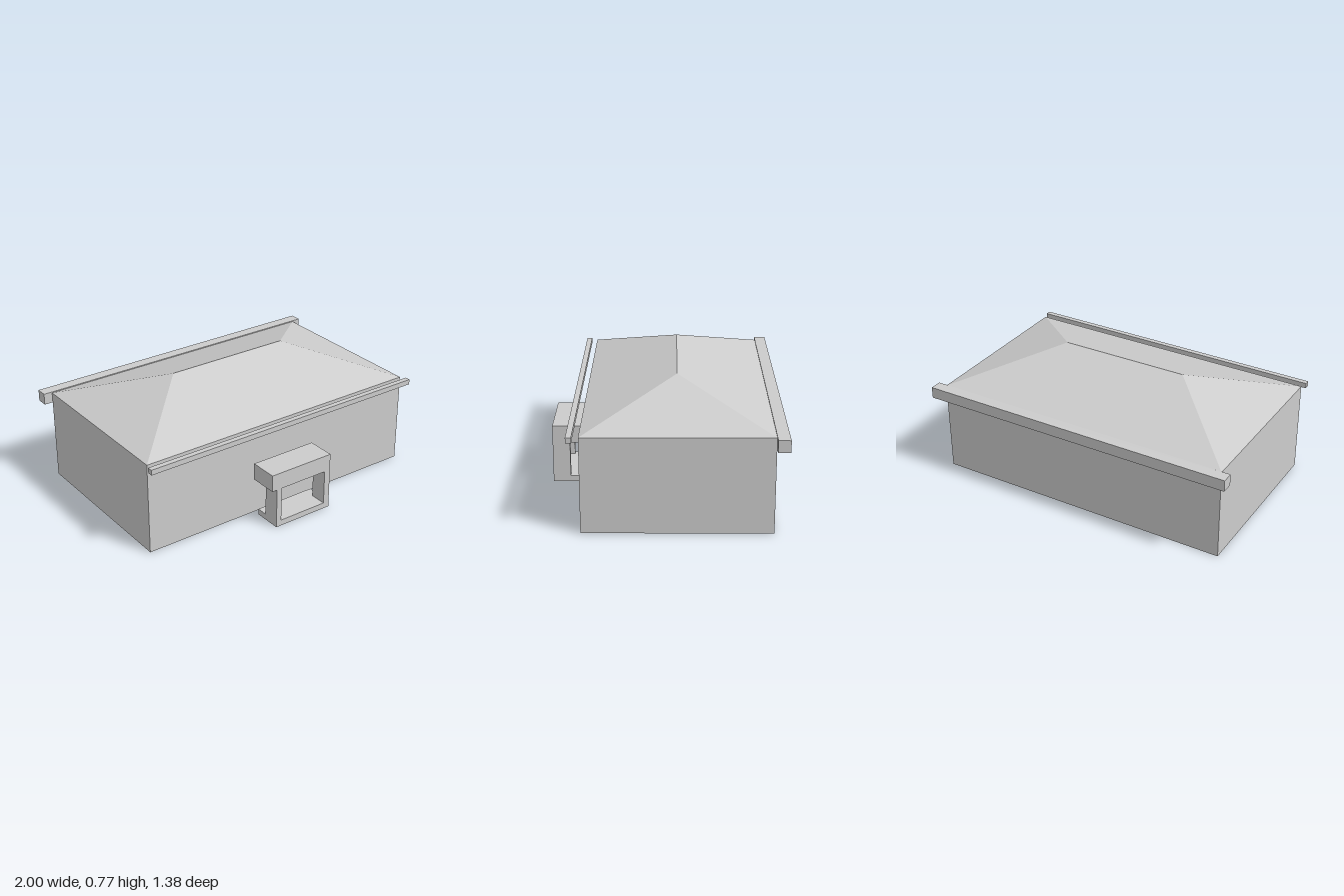
import * as THREE from 'three';

export function createModel() {
  const group = new THREE.Group();
  const grey = new THREE.MeshStandardMaterial({ color: 0xcccccc, side: THREE.DoubleSide });
  grey.name = 'plain grey';

  const add = (name, geometry) => {
    const mesh = new THREE.Mesh(geometry, grey);
    mesh.name = name;
    group.add(mesh);
    return mesh;
  };

  // Box given by its x, y and z ranges; 'open' lists faces to leave out (2 = top, 3 = bottom)
  const box = (name, [x0, x1], [y0, y1], [z0, z1], open = []) => {
    const g = new THREE.BoxGeometry(x1 - x0, y1 - y0, z1 - z0);
    g.setIndex([...g.index.array].filter((_, i) => !open.includes(Math.floor(i / 6))));
    g.clearGroups();
    g.translate((x0 + x1) / 2, (y0 + y1) / 2, (z0 + z1) / 2);
    return add(name, g);
  };

  // Walls, open below and under the roof
  const W = 0.945, front = 0.475, back = -0.62, eave = 0.577;
  box('walls', [-W, W], [0, eave], [back, front], [2, 3]);

  // Hipped roof: four eave corners and two ridge ends
  const ridgeY = 0.772, ridgeX = 0.405, ridgeZ = (front + back) / 2;
  const p = [
    [-W, eave, front], [W, eave, front], [W, eave, back], [-W, eave, back],
    [-ridgeX, ridgeY, ridgeZ], [ridgeX, ridgeY, ridgeZ],
  ];
  const faces = [0, 1, 5, 0, 5, 4, 1, 2, 5, 2, 3, 4, 2, 4, 5, 3, 0, 4];
  const roof = new THREE.BufferGeometry();
  roof.setAttribute('position', new THREE.Float32BufferAttribute(faces.flatMap((i) => p[i]), 3));
  roof.computeVertexNormals();
  add('hippedRoof', roof);

  // Eave beams
  box('frontGutter', [-0.96, 0.96], [0.55, 0.583], [0.512, 0.545]);
  box('backBeam', [-1, 1], [0.512, 0.583], [-0.692, back]);

  // Doorway frame standing before the front wall
  const near = 0.692, inner = 0.585, rear = 0.515;
  box('doorwaySill', [-0.2, 0.2], [0, 0.037], [rear, near], [3]);
  box('doorwayLeftPost', [0.16, 0.2], [0.037, 0.257], [inner, near], [2, 3]);
  box('doorwayRightPost', [-0.2, -0.165], [0.037, 0.257], [inner, near], [2, 3]);
  box('doorwayLintel', [-0.235, 0.2], [0.257, 0.364], [rear, near]);

  return group;
}
